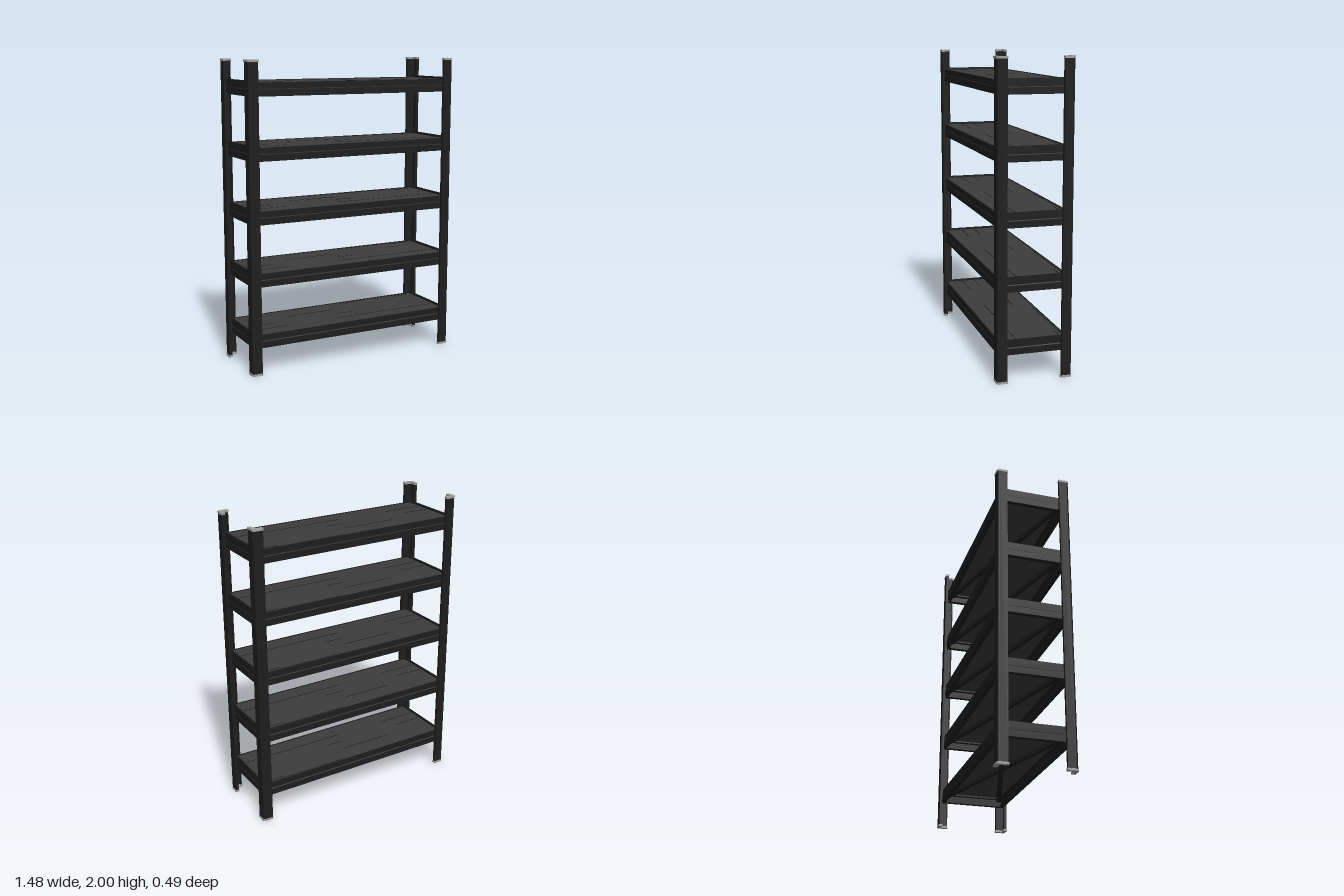
import * as THREE from 'three';

const HALF_X = 0.742, HALF_Z = 0.246; // outer corners of the posts
const SHELF_X = 0.72, SHELF_Z = 0.227; // outer faces of the shelf beams

const mat = (name, color) => {
  const m = new THREE.MeshStandardMaterial({ color });
  m.name = name;
  return m;
};

function polygon(points) {
  return new THREE.Shape(points.map(([x, y]) => new THREE.Vector2(x, y)));
}

// Solid angle section with a rounded outer corner at the origin
function angleShape(arm, depth, r) {
  const s = new THREE.Shape();
  s.moveTo(-arm, 0);
  s.lineTo(-arm, -depth);
  s.lineTo(-depth, -depth);
  s.lineTo(-depth, -arm);
  s.lineTo(0, -arm);
  s.lineTo(0, -r);
  s.absarc(-r, -r, r, 0, Math.PI / 2, false);
  s.closePath();
  return s;
}

// Folded sheet angle with return lips, symmetric about its diagonal
function postShape() {
  const a = 0.066, t = 0.006, lip = 0.02, r = 0.014;
  const s = new THREE.Shape();
  s.moveTo(-a, 0);
  s.lineTo(-a, -lip);
  s.lineTo(-a + t, -lip);
  s.lineTo(-a + t, -t);
  s.lineTo(-r, -t);
  s.absarc(-r, -r, r - t, Math.PI / 2, 0, true);
  s.lineTo(-t, -a + t);
  s.lineTo(-lip, -a + t);
  s.lineTo(-lip, -a);
  s.lineTo(0, -a);
  s.lineTo(0, -r);
  s.absarc(-r, -r, r, 0, Math.PI / 2, false);
  s.closePath();
  return s;
}

function upright(shape, y0, y1) {
  const g = new THREE.ExtrudeGeometry(shape, { depth: y1 - y0, bevelEnabled: false, curveSegments: 6 });
  return g.rotateX(-Math.PI / 2).translate(0, y0, 0);
}

// Stepped beam with an inward ledge; runs along x, outer face towards +z
function beamGeometry(length, top) {
  const shape = polygon([
    [0, 0], [0, 0.042], [-0.005, 0.047], [-0.005, top], [-0.014, top], [-0.014, 0.06],
    [-0.04, 0.06], [-0.04, 0.05], [-0.014, 0.05], [-0.014, 0.01], [-0.03, 0.01], [-0.03, 0],
  ]);
  const g = new THREE.ExtrudeGeometry(shape, { depth: length, bevelEnabled: false });
  return g.translate(0, 0, -length / 2).rotateY(-Math.PI / 2);
}

export function createModel() {
  const root = new THREE.Group();
  root.name = 'shelvingUnit';
  const frame = mat('blackSteel', 0x1e1e1e);
  const board = mat('darkBoard', 0x3c3c3c);
  const grain = mat('boardGrain', 0x161616);
  const plastic = mat('greyPlastic', 0xa0a0a0);

  const add = (parent, name, geometry, material, x = 0, y = 0, z = 0, ry = 0) => {
    const m = new THREE.Mesh(geometry, material);
    m.name = name;
    m.position.set(x, y, z);
    m.rotation.y = ry;
    parent.add(m);
    return m;
  };

  // Corner posts with caps and feet
  const postGeo = upright(postShape(), 0.008, 1.992);
  const capGeo = upright(angleShape(0.072, 0.025, 0.018), 0, 0.014);
  const corners = [[1, -1], [-1, -1], [-1, 1], [1, 1]];
  corners.forEach(([sx, sz], k) => {
    const post = new THREE.Group();
    post.name = 'cornerPost';
    post.position.set(sx * (HALF_X - 0.003), 0, sz * (HALF_Z - 0.003));
    post.rotation.y = k * Math.PI / 2;
    add(post, 'postSheet', postGeo, frame);
    add(post, 'topCap', capGeo, plastic, 0.003, 1.986, -0.003);
    add(post, 'foot', capGeo, plastic, 0.003, 0, -0.003);
    root.add(post);
  });

  // Shared shelf parts
  const longBeam = beamGeometry(2 * SHELF_X - 0.004, 0.085);
  const sideBeam = beamGeometry(2 * SHELF_Z - 0.004, 0.096);
  const panel = new THREE.BoxGeometry(1.414, 0.022, 0.428);
  const braceAngle = Math.atan2(0.38, 1.38);
  const brace = new THREE.BoxGeometry(1.43, 0.026, 0.034);
  // Grain lines: start x, end x, z
  const lines = [
    [-0.35, 0.01, -0.085], [-0.69, -0.5, 0.008], [-0.03, 0.1, 0.008],
    [-0.69, -0.43, 0.102], [-0.06, 0.69, 0.102], [0.1, 0.69, -0.203], [0.55, 0.66, -0.18],
  ];

  for (let i = 0; i < 5; i++) {
    const shelf = new THREE.Group();
    shelf.name = 'shelf';
    shelf.position.y = 0.176 + i * 0.4;
    root.add(shelf);
    for (const s of [1, -1]) {
      add(shelf, 'longBeam', longBeam, frame, 0, 0, s * SHELF_Z, s > 0 ? 0 : Math.PI);
      add(shelf, 'sideBeam', sideBeam, frame, s * SHELF_X, 0, 0, s * Math.PI / 2);
      // Crossed braces beneath the board
      add(shelf, 'crossBrace', brace, frame, 0, 0.045 + s * 0.001, 0, s * braceAngle);
    }
    add(shelf, 'board', panel, board, 0, 0.071, 0);
    for (const [x0, x1, z] of lines) {
      add(shelf, 'grainLine', new THREE.BoxGeometry(x1 - x0, 0.002, 0.004), grain, (x0 + x1) / 2, 0.0822, z);
    }
  }
  return root;
}
